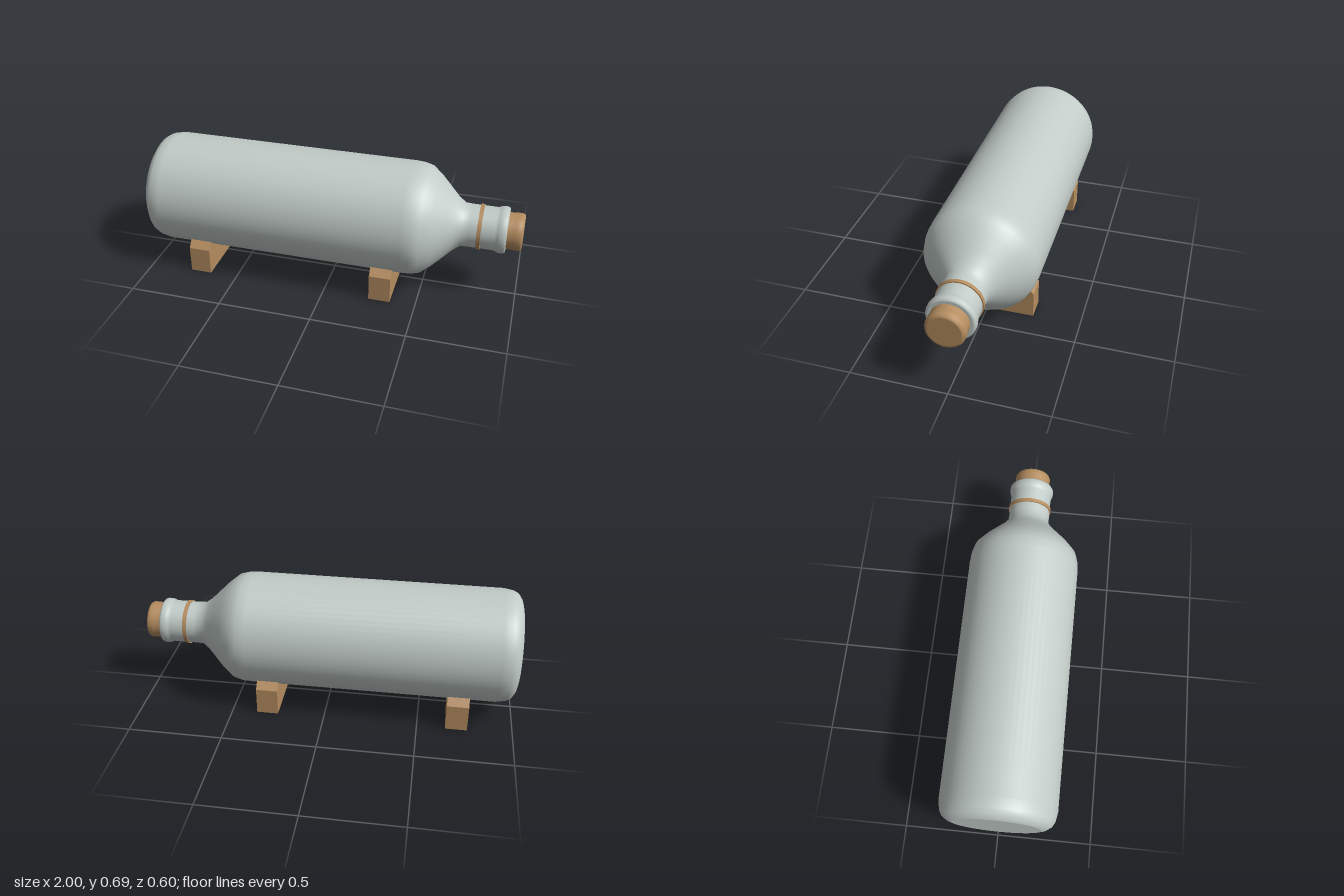
import * as THREE from 'three';

const AXIS_Y = 0.39; // height of the bottle's centre line
const R = 0.3;       // body radius

const glass = new THREE.MeshStandardMaterial({ color: 0xc1cbc7 });
glass.name = 'paleGlass';
const wood = new THREE.MeshStandardMaterial({ color: 0xb58d60 });
wood.name = 'wood';

// Turned part lying along x; each section is a list of [x, radius], with sharp edges between sections
function turned(name, material, sections) {
  const part = new THREE.Group();
  part.name = name;
  sections.forEach((section, i) => {
    const points = section.map(([x, r]) => new THREE.Vector2(r, x));
    const mesh = new THREE.Mesh(new THREE.LatheGeometry(points, 64), material);
    mesh.name = name + 'Section' + (i + 1);
    mesh.rotation.z = -Math.PI / 2;
    part.add(mesh);
  });
  part.position.y = AXIS_Y;
  return part;
}

// Saddle block with an arc cut to fit the bottle
function saddle(name, x0, x1) {
  const a = Math.asin(0.207 / R);
  const shape = new THREE.Shape();
  shape.moveTo(-0.25, 0);
  shape.lineTo(0.25, 0);
  shape.lineTo(0.25, 0.145);
  shape.lineTo(R * Math.cos(a), AXIS_Y - R * Math.sin(a));
  shape.absarc(0, AXIS_Y, R, -a, -Math.PI + a, true);
  shape.lineTo(-0.25, 0.145);
  shape.closePath();
  const geometry = new THREE.ExtrudeGeometry(shape, { depth: x1 - x0, bevelEnabled: false, curveSegments: 24 });
  geometry.rotateY(Math.PI / 2);
  const mesh = new THREE.Mesh(geometry, wood);
  mesh.name = name;
  mesh.position.x = x0;
  return mesh;
}

export function createModel() {
  const model = new THREE.Group();
  model.name = 'bottleOnStand';

  // Bottle: flat base, body with shoulder and neck, flat mouth
  model.add(turned('bottle', glass, [
    [[-1, 0], [-1, 0.225]],
    [[-1, 0.225], [-0.993, 0.25], [-0.975, 0.277], [-0.95, 0.291], [-0.9, R],
      [0.41, R], [0.455, 0.297], [0.5, 0.285], [0.555, 0.24], [0.61, 0.185],
      [0.65, 0.145], [0.69, 0.115], [0.73, 0.113], [0.86, 0.113],
      [0.875, 0.119], [0.89, 0.123], [0.91, 0.122], [0.918, 0.117], [0.92, 0.11]],
    [[0.92, 0.11], [0.92, 0]],
  ]));

  // Band around the neck
  model.add(turned('neckBand', wood, [
    [[0.77, 0.11], [0.77, 0.119]],
    [[0.77, 0.119], [0.79, 0.119]],
    [[0.79, 0.119], [0.79, 0.11]],
  ]));

  // Stopper
  model.add(turned('cork', wood, [
    [[0.9, 0.097], [0.94, 0.095], [0.96, 0.098], [0.985, 0.098], [0.996, 0.093], [1, 0.082]],
    [[1, 0.082], [1, 0]],
  ]));

  model.add(saddle('rearSaddle', -0.765, -0.65));
  model.add(saddle('neckSaddle', 0.25, 0.365));
  return model;
}
